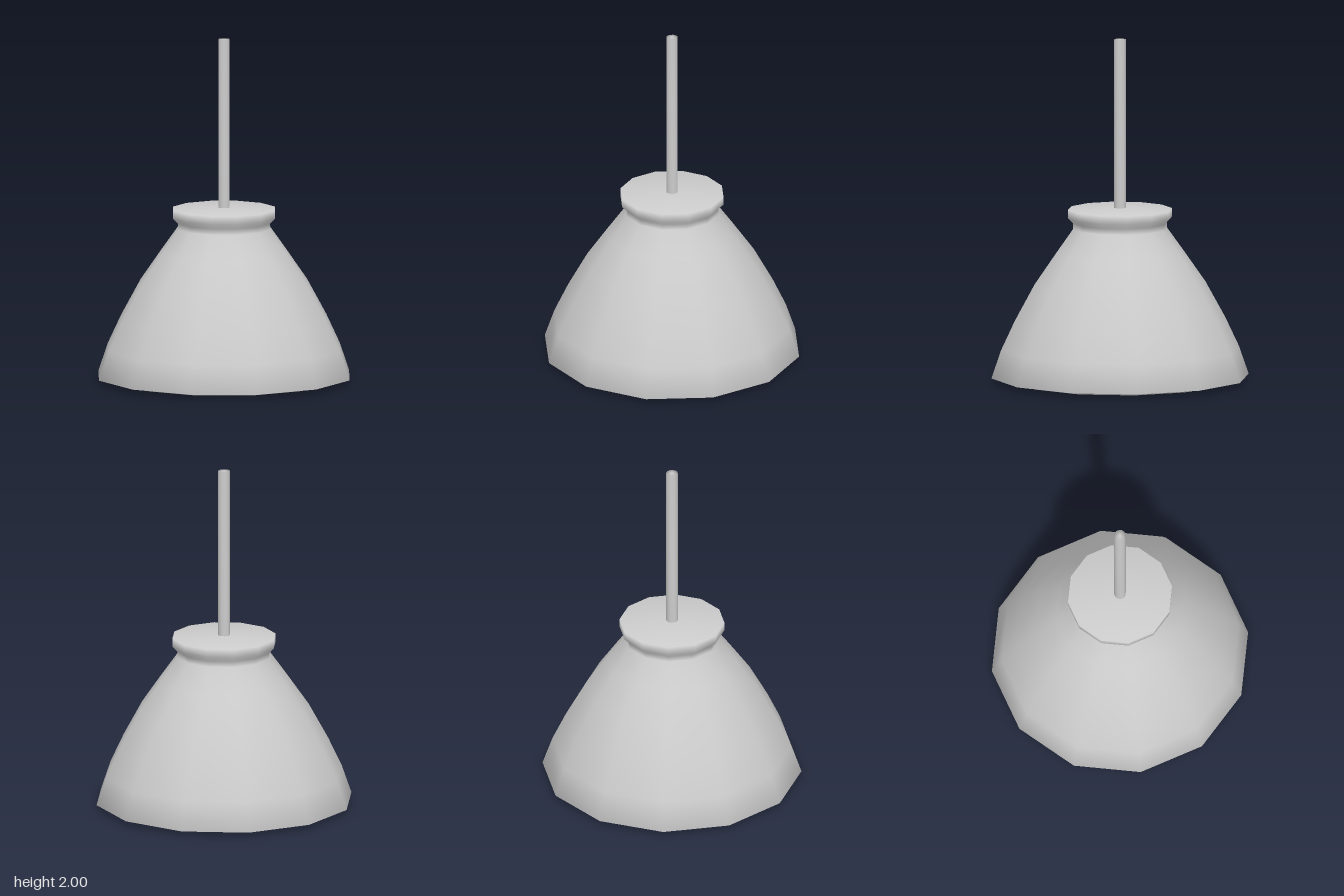
import * as THREE from 'three';
import { mergeVertices } from 'three/addons/utils/BufferGeometryUtils.js';

const material = new THREE.MeshStandardMaterial({ color: 0xcccccc, side: THREE.DoubleSide });

function add(group, name, geometry) {
  const mesh = new THREE.Mesh(geometry, material);
  mesh.name = name;
  group.add(mesh);
  return mesh;
}

// Twelve-sided turned shape, welded so that all its edges shade smoothly
function turned(profile) {
  const lathe = new THREE.LatheGeometry(profile.map(([r, y]) => new THREE.Vector2(r, y)), 12);
  lathe.deleteAttribute('uv');
  lathe.deleteAttribute('normal');
  const welded = mergeVertices(lathe);
  welded.computeVertexNormals();
  return welded;
}

export function createModel() {
  const lamp = new THREE.Group();
  lamp.name = 'pendantLamp';

  // Hollow bell shade: inside from the ceiling down, rim lip, outside up to the collar and top
  add(lamp, 'shade', turned([
    [0, 0.86], [0.22, 0.85], [0.32, 0.73], [0.44, 0.56], [0.555, 0.35], [0.635, 0.18], [0.685, 0.025],
    [0.752, 0.025], [0.695, 0.19], [0.615, 0.36], [0.5, 0.57], [0.375, 0.75],
    [0.275, 0.89], [0.275, 0.925], [0.305, 0.955], [0.305, 1.003], [0, 1.012],
  ]));

  // Hanging rod
  add(lamp, 'rod', turned([[0.034, 0.99], [0.034, 1.997], [0, 2]]));

  // Guard: concentric rings
  const guard = new THREE.Group();
  guard.name = 'guard';
  lamp.add(guard);
  for (const radius of [0.19, 0.41, 0.618]) {
    const ring = add(guard, 'guardRing', new THREE.TorusGeometry(radius, 0.027, 8, 12));
    ring.rotation.x = Math.PI / 2;
    ring.position.y = 0.027;
  }

  // Guard: two crossed bars with rounded ends
  for (const angle of [0, Math.PI / 2]) {
    const bar = add(guard, 'guardBar', new THREE.CapsuleGeometry(0.028, 1.384, 4, 8));
    bar.rotation.set(Math.PI / 2, 0, angle);
    bar.position.y = 0.043;
  }

  return lamp;
}
